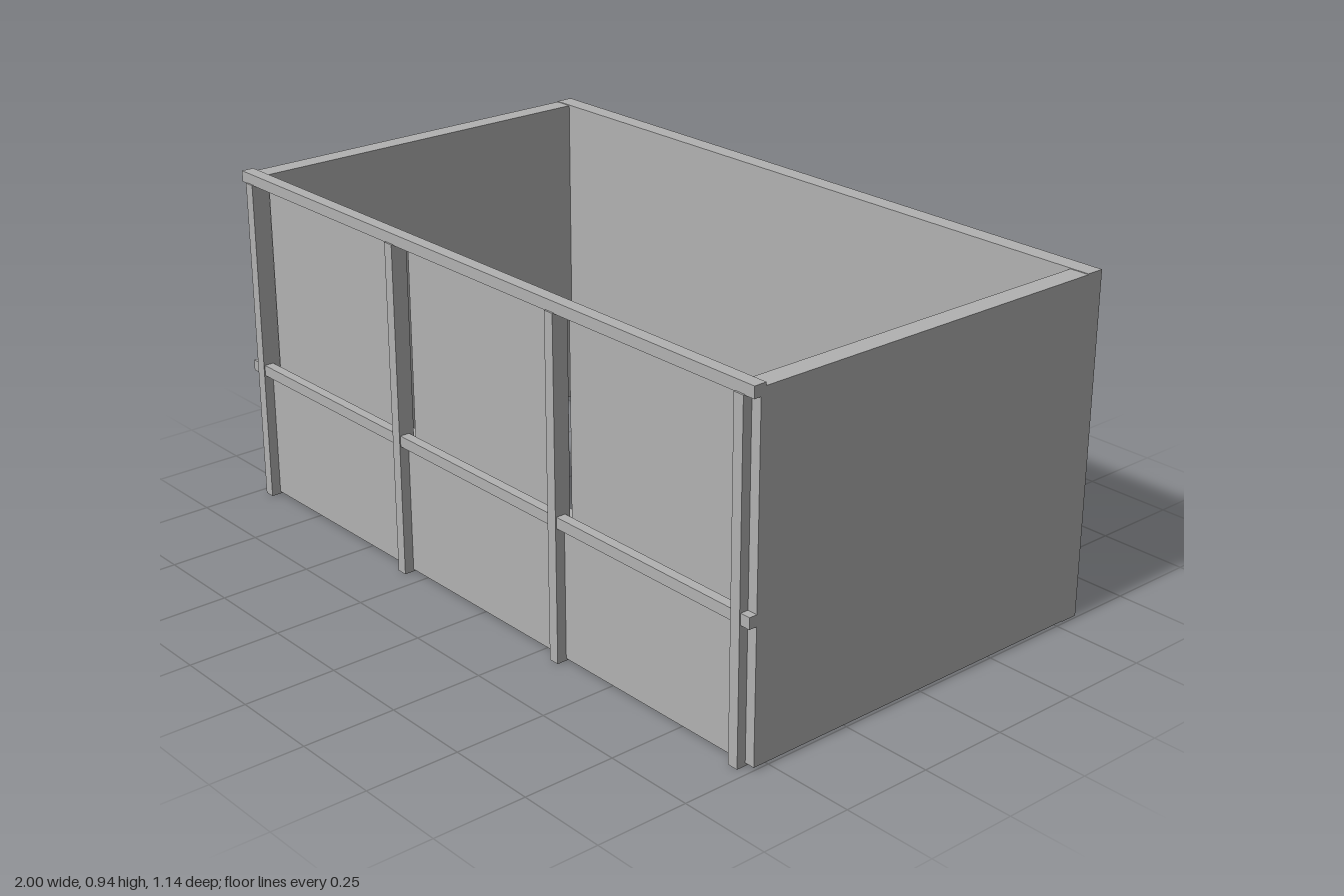
import * as THREE from 'three';

export function createModel() {
  const group = new THREE.Group();
  const grey = new THREE.MeshStandardMaterial({ color: 0xb2b2b2 });
  grey.name = 'plain grey';

  // Box given by its minimum and maximum corners
  const block = (name, [x0, y0, z0], [x1, y1, z1]) => {
    const mesh = new THREE.Mesh(new THREE.BoxGeometry(x1 - x0, y1 - y0, z1 - z0), grey);
    mesh.position.set((x0 + x1) / 2, (y0 + y1) / 2, (z0 + z1) / 2);
    mesh.name = name;
    group.add(mesh);
  };

  // Solid walls, open at floor and roof
  block('backWall', [-1, 0.006, -0.57], [1, 0.934, -0.52]);
  block('rightWall', [-1, 0.008, -0.52], [-0.945, 0.932, 0.545]);
  block('leftWall', [0.945, 0.008, -0.52], [1, 0.932, 0.545]);

  // Low front wall with its inner ledge
  block('frontLowerWall', [-0.945, 0.006, 0.49], [0.945, 0.38, 0.543]);

  // Horizontal front members
  block('topBeam', [-1, 0.91, 0.53], [1, 0.94, 0.565]);
  block('middleRail', [-1, 0.365, 0.54], [1, 0.395, 0.567]);

  // Vertical posts: two at the corners, two between the bays
  for (const x of [-0.96, -0.32, 0.316, 0.957]) {
    block('frontPost', [x - 0.015, 0, 0.525], [x + 0.015, 0.912, 0.57]);
  }

  // Upper panels, leaving narrow gaps to posts and beam
  for (const [x0, x1] of [[-0.932, -0.343], [-0.297, 0.293], [0.339, 0.932]]) {
    block('upperPanel', [x0, 0.375, 0.515], [x1, 0.9, 0.526]);
  }

  return group;
}
